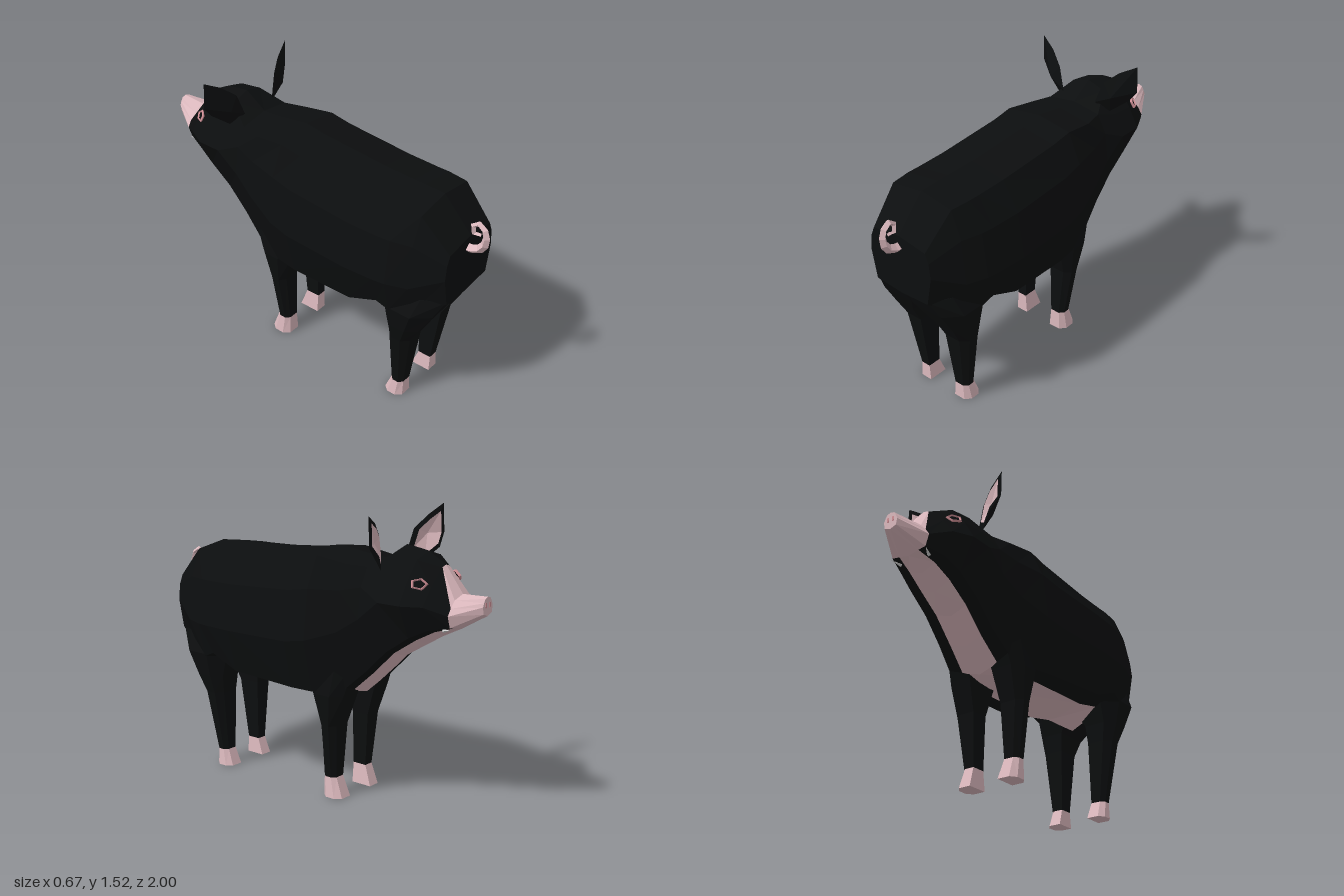
import * as THREE from 'three';

const mat = (color) => new THREE.MeshStandardMaterial({ color, flatShading: true, side: THREE.DoubleSide });
const black = mat(0x0c0e0f), pink = mat(0xdcb9be), rose = mat(0xd08f96), bone = mat(0xcccccc);
const lerp = THREE.MathUtils.lerp;

function meshOf(name, tris, material) {
  const g = new THREE.BufferGeometry();
  g.setAttribute('position', new THREE.Float32BufferAttribute(tris.flat(2), 3));
  g.computeVertexNormals();
  const m = new THREE.Mesh(g, material);
  m.name = name;
  return m;
}

// Joins closed rings into triangles; colourOf(i, j, t) sorts them into bins.
function loft(rings, colourOf) {
  const bins = {}, n = rings[0].length;
  const put = (key, ...tri) => (bins[key] ??= []).push(tri);
  for (let i = 0; i + 1 < rings.length; i++) for (let j = 0; j < n; j++) {
    const k = (j + 1) % n;
    const a = rings[i][j], b = rings[i][k], c = rings[i + 1][j], d = rings[i + 1][k];
    const pair = j < n / 2 ? [[a, b, d], [a, d, c]] : [[a, b, c], [b, d, c]];
    pair.forEach((tri, t) => put(colourOf(i, j, t), ...tri));
  }
  const last = rings.length - 1, mid = (r) => [0, 1, 2].map((q) => r.reduce((s, p) => s + p[q], 0) / n);
  for (let j = 0; j < n; j++) {
    const k = (j + 1) % n;
    put(colourOf(0, j, 0), mid(rings[0]), rings[0][k], rings[0][j]);
    put(colourOf(last - 1, j, 0), mid(rings[last]), rings[last][j], rings[last][k]);
  }
  return bins;
}

// Rump to snout: z, top y, back half width, widest x and y, flank foot x and y, belly y
const SECTIONS = [
  [.89, 1.08, .17, .2, .92, .17, .76, .75],
  [.73, 1.25, .19, .275, .84, .22, .66, .65],
  [.62, 1.255, .2, .315, .84, .27, .65, .63],
  [.55, 1.255, .2, .325, .84, .28, .68, .52],
  [.38, 1.26, .2, .335, .84, .28, .61, .54],
  [0, 1.29, .2, .318, .84, .26, .585, .56],
  [-.12, 1.31, .2, .305, .86, .24, .58, .55],
  [-.29, 1.285, .19, .26, .92, .19, .61, .56],
  [-.41, 1.275, .16, .235, 1, .17, .72, .67],
  [-.53, 1.355, .1, .24, 1.1, .165, .84, .79],
  [-.66, 1.335, .1, .24, 1.1, .16, .93, .87],
  [-.76, 1.28, .03, .19, 1.1, .14, .98, .93],
  [-.86, 1.15, .07, .125, 1.06, .105, 1, .98],
  [-1, 1.155, .022, .042, 1.11, .036, 1.075, 1.062],
];

// Twelve-point ring: shoulder and belly-edge points are blended from their neighbours, flatter on the head
function bodyRing([z, top, edgeX, wideX, wideY, lowX, lowY, belly]) {
  const [drop, bx, by] = z < -.45 ? [.3, .58, .5] : [.15, .7, .38];
  const edgeY = top - drop * edgeX;
  const half = [[0, top], [edgeX, edgeY], [lerp(edgeX, wideX, bx), lerp(edgeY, wideY, by)],
    [wideX, wideY], [lowX, lowY], [lowX * .58, lerp(lowY, belly, .35)], [0, belly]];
  return [...half.map(([x, y]) => [x, y, z]), ...half.slice(1, -1).reverse().map(([x, y]) => [-x, y, z])];
}

function makeBody() {
  const bins = loft(SECTIONS.map(bodyRing), (i, j, t) => {
    const strip = Math.min(j, 11 - j);
    if (i >= 12) return 'snout';
    if (i === 11 && (strip === 0 || (strip === 1 && t === 1))) return 'snout';
    return strip === 5 && i >= 2 ? 'belly' : 'hide';
  });
  return [meshOf('bodyAndHead', bins.hide, black), meshOf('bellyAndChest', bins.belly, pink),
    meshOf('snout', bins.snout, pink)];
}

// Leg rows, top down: y, inner x, outer x, front z, back z; the last two rows are the hoof
const FRONT_LEG = [[.78, .05, .22, -.36, -.02], [.57, .07, .235, -.285, -.08], [.4, .085, .21, -.23, -.13],
  [.11, .095, .17, -.21, -.13], [0, .085, .18, -.25, -.13]];
const HIND_LEG = [[.765, .02, .225, .5, .883], [.66, .005, .27, .53, .83], [.53, .08, .245, .56, .755],
  [.43, .088, .22, .57, .7], [.09, .095, .17, .575, .65], [0, .088, .18, .54, .65]];

function makeLeg(name, rows) {
  const rings = rows.map(([y, x0, x1, zf, zb]) => {
    const xm = lerp(x0, x1, .72), d = (zb - zf) * .28;
    return [[x0, y, zf], [xm, y, zf], [x1, y, zf + d], [x1, y, zb - d], [xm, y, zb], [x0, y, zb]];
  });
  const bins = loft(rings, (i) => (i === rows.length - 2 ? 'hoof' : 'leg'));
  const g = new THREE.Group();
  g.name = name + 'Leg';
  g.add(meshOf(name + 'Shank', bins.leg, black), meshOf(name + 'Hoof', bins.hoof, pink));
  return g;
}

// Cupped ear: black back and rim, pink hollow facing forward
function makeEar() {
  const rim = [[.17, 1.24, -.5], [.105, 1.29, -.45], [.145, 1.41, -.465], [.22, 1.475, -.5],
    [.31, 1.525, -.528], [.312, 1.38, -.535], [.255, 1.31, -.548]];
  const back = [.2, 1.34, -.455], hollow = [.22, 1.38, -.495];
  const inner = rim.map((p) => p.map((v, q) => lerp(hollow[q], v, .74) - (q === 2 ? .01 : 0)));
  const shell = [], lining = [];
  rim.forEach((p, j) => {
    const k = (j + 1) % rim.length;
    shell.push([back, rim[k], p], [p, rim[k], inner[k]], [p, inner[k], inner[j]]);
    lining.push([hollow, inner[j], inner[k]]);
  });
  const g = new THREE.Group();
  g.name = 'ear';
  g.add(meshOf('earShell', shell, black), meshOf('earLining', lining, pink));
  return g;
}

function makeEye() {
  const g = new THREE.Group();
  g.name = 'eye';
  const rim = new THREE.Mesh(new THREE.TorusGeometry(.036, .007, 4, 5), rose);
  rim.name = 'eyeRim';
  const ball = new THREE.Mesh(new THREE.CircleGeometry(.034, 5), black);
  ball.name = 'eyeball';
  g.add(rim, ball);
  g.scale.set(1.05, .75, 1);
  g.position.set(.162, 1.203, -.718);
  g.lookAt(.872, 1.683, -1.228);
  return g;
}

// Curled tail, thinner toward the tip
function makeTail() {
  const path = new THREE.CatmullRomCurve3([[-.01, 1.01, .87], [-.01, 1.025, .94], [-.01, 1.08, .98], [-.01, 1.145, .972],
    [-.01, 1.173, .935], [-.01, 1.15, .905], [-.008, 1.1, .915], [-.008, 1.112, .945]]
    .map((p) => new THREE.Vector3(...p)));
  const steps = 9, sides = 4;
  const geo = new THREE.TubeGeometry(path, steps, .027, sides);
  const pos = geo.attributes.position, v = new THREE.Vector3();
  for (let i = 0; i < pos.count; i++) {
    const u = Math.floor(i / (sides + 1)) / steps, c = path.getPointAt(u);
    v.fromBufferAttribute(pos, i).sub(c).multiplyScalar(1 - .6 * u).add(c);
    pos.setXYZ(i, v.x, v.y, v.z);
  }
  const m = new THREE.Mesh(geo, pink);
  m.name = 'tail';
  return m;
}

function makeTusk() {
  const m = new THREE.Mesh(new THREE.ConeGeometry(.01, .06, 4), bone);
  m.name = 'tusk';
  m.position.set(.1, .985, -.84);
  m.rotation.set(-1.3, 0, -.4);
  return m;
}

function makeNostril() {
  const m = new THREE.Mesh(new THREE.BoxGeometry(.012, .025, .006), rose);
  m.name = 'nostril';
  m.position.set(.016, 1.115, -.999);
  return m;
}

export function createModel() {
  const pig = new THREE.Group();
  pig.name = 'pig';
  pig.add(...makeBody(), makeTail());
  // Paired parts, mirrored across the middle
  for (const side of [1, -1]) {
    const half = new THREE.Group();
    half.name = side > 0 ? 'leftParts' : 'rightParts';
    half.add(makeLeg('front', FRONT_LEG), makeLeg('hind', HIND_LEG), makeEar(), makeEye(), makeTusk(), makeNostril());
    half.scale.x = side;
    pig.add(half);
  }
  return pig;
}
